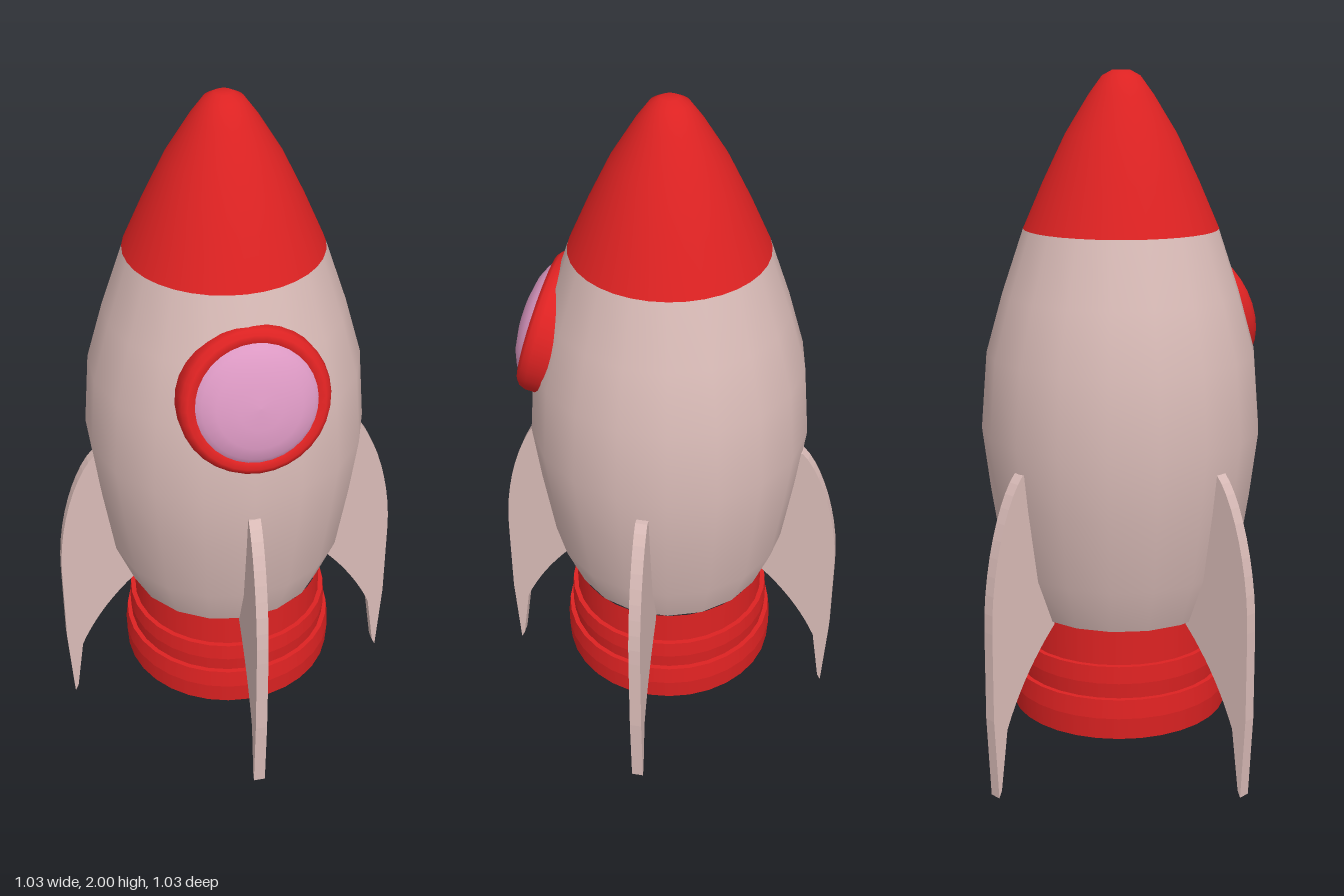
import * as THREE from 'three';
import { mergeGeometries } from 'three/addons/utils/BufferGeometryUtils.js';

const material = (name, color) => new THREE.MeshStandardMaterial({ name, color });
const points = (list) => list.map(([a, b]) => new THREE.Vector2(a, b));
const lathe = (profile, sides) => new THREE.LatheGeometry(points(profile), sides);

// Turned shape with a hard edge at every profile point
function steppedLathe(profile, sides) {
  return mergeGeometries(profile.slice(1).map((p, i) => lathe([profile[i], p], sides)));
}

export function createModel() {
  const shell = material('pale shell', 0xd9bbb7);
  const red = material('red trim', 0xdd2222);
  const glass = material('pink glass', 0xdb98c2);
  const black = material('black nozzle', 0x161616);

  const rocket = new THREE.Group();
  rocket.name = 'rocket';
  const add = (parent, name, geometry, mat) => {
    const mesh = new THREE.Mesh(geometry, mat);
    mesh.name = name;
    parent.add(mesh);
    return mesh;
  };

  // Hull and nose share one tapering outline, split at y = 1.57
  const hull = add(rocket, 'hull', lathe([
    [0.295, 0.475], [0.348, 0.61], [0.38, 0.82], [0.402, 1.0], [0.384, 1.22], [0.336, 1.39], [0.275, 1.57],
  ], 18), shell);
  const hullBase = add(rocket, 'hullBase', lathe([[0, 0.475], [0.295, 0.475]], 18), shell);
  const nose = add(rocket, 'noseCone', lathe([
    [0.275, 1.57], [0.218, 1.7], [0.155, 1.83], [0.09, 1.935], [0.053, 1.985], [0.025, 2.0], [0, 2.0],
  ], 36), red);
  for (const part of [hull, hullBase, nose]) part.position.x = -0.008;

  // Stepped engine skirt with a funnel underneath
  add(rocket, 'engineSkirt', steppedLathe([
    [0.19, 0.24], [0.272, 0.157], [0.318, 0.157], [0.322, 0.22], [0.316, 0.275], [0.302, 0.275],
    [0.306, 0.32], [0.302, 0.37], [0.288, 0.37], [0.288, 0.475],
  ], 32), red);
  const opening = add(rocket, 'nozzleOpening', new THREE.CircleGeometry(0.192, 16), black);
  opening.rotation.x = Math.PI / 2;
  opening.position.y = 0.24;

  // Porthole, turned about its own axis and tilted to follow the hull
  const porthole = new THREE.Group();
  porthole.name = 'porthole';
  add(porthole, 'portholeFrame', lathe([
    [0.195, -0.13], [0.205, -0.07], [0.206, -0.025], [0.199, -0.005], [0.185, 0.006], [0.165, 0.004], [0.155, -0.01],
  ], 32), red);
  add(porthole, 'portholeGlass', lathe([
    [0.167, 0.0], [0.15, 0.018], [0.115, 0.034], [0.06, 0.045], [0, 0.048],
  ], 32), glass);
  porthole.position.set(0, 1.298, 0.37);
  porthole.rotation.x = Math.PI / 2 - 0.26;
  rocket.add(porthole);

  // Four swept fins, each drawn in the x-y plane
  const outline = new THREE.Shape();
  outline.moveTo(0.27, 0.48);
  outline.lineTo(0.33, 0.93);
  outline.lineTo(0.395, 0.93);
  outline.bezierCurveTo(0.455, 0.87, 0.515, 0.68, 0.515, 0.5);
  outline.lineTo(0.516, 0.24);
  outline.lineTo(0.503, 0.0);
  outline.lineTo(0.493, 0.02);
  outline.lineTo(0.468, 0.2);
  outline.quadraticCurveTo(0.4, 0.36, 0.27, 0.48);
  const finGeometry = new THREE.ExtrudeGeometry(outline, { depth: 0.034, bevelEnabled: false, curveSegments: 10 });
  finGeometry.translate(0, 0, -0.017);
  ['leftFin', 'backFin', 'rightFin', 'frontFin'].forEach((name, i) => {
    const fin = add(rocket, name, finGeometry, shell);
    fin.rotation.y = i * Math.PI / 2;
    if (i % 2) fin.position.x = -0.008;
  });

  return rocket;
}
